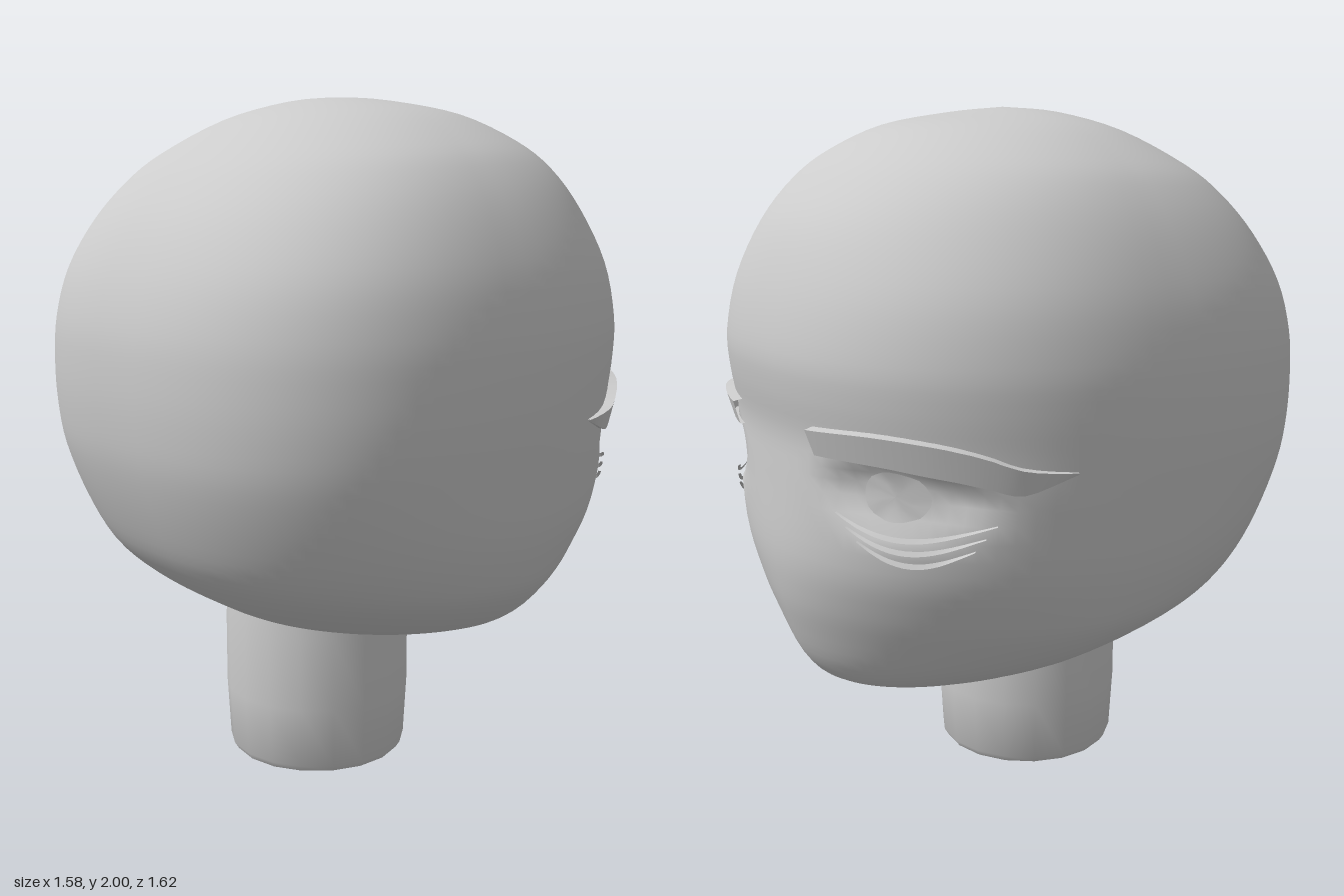
import * as THREE from 'three';
import { toCreasedNormals } from 'three/addons/utils/BufferGeometryUtils.js';

const skin = new THREE.MeshStandardMaterial({ color: 0xcccccc });
const thin = new THREE.MeshStandardMaterial({ color: 0xcccccc, side: THREE.DoubleSide });

// Surface through equal-length rows of points, optionally closed around.
function gridGeometry(rows, closed) {
  const n = rows[0].length, index = [];
  for (let i = 0; i < rows.length - 1; i++) {
    for (let j = 0; j < (closed ? n : n - 1); j++) {
      const k = (j + 1) % n;
      const a = i * n + j, b = (i + 1) * n + j, c = (i + 1) * n + k, d = i * n + k;
      index.push(a, b, c, a, c, d);
    }
  }
  const geo = new THREE.BufferGeometry().setFromPoints(rows.flat());
  geo.setIndex(index);
  geo.computeVertexNormals();
  return geo;
}

// Head rings: face z, y; back z, y; half width; roundness of face and back
const rings = [
  [0, 2, 0, 2, 0, 2, 2],
  [-0.15, 1.985, 0.15, 1.985, 0.18, 2, 2],
  [-0.35, 1.95, 0.33, 1.93, 0.37, 2, 2.1],
  [-0.5, 1.88, 0.5, 1.83, 0.53, 2.1, 2.3],
  [-0.6, 1.8, 0.6, 1.745, 0.62, 2.2, 2.4],
  [-0.7, 1.68, 0.69, 1.635, 0.695, 2.2, 2.5],
  [-0.77, 1.52, 0.76, 1.5, 0.755, 2.3, 2.6],
  [-0.805, 1.36, 0.8, 1.36, 0.785, 2.3, 2.6],
  [-0.8, 1.25, 0.81, 1.23, 0.79, 2.3, 2.6],
  [-0.78, 1.13, 0.805, 1.1, 0.785, 2.3, 2.6],
  [-0.783, 1, 0.785, 0.97, 0.77, 2.3, 2.6],
  [-0.79, 0.8, 0.735, 0.82, 0.745, 2.1, 2.5],
  [-0.775, 0.67, 0.67, 0.69, 0.705, 1.9, 2.4],
  [-0.745, 0.56, 0.58, 0.6, 0.65, 1.75, 2.3],
  [-0.69, 0.43, 0.46, 0.52, 0.53, 1.7, 2.2],
  [-0.61, 0.355, 0.33, 0.455, 0.38, 1.8, 2.1],
  [-0.48, 0.335, 0.15, 0.42, 0.21, 2, 2],
  [-0.15, 0.37, -0.15, 0.37, 0, 2, 2],
];

function headGeometry() {
  const curve = f => new THREE.CatmullRomCurve3(rings.map(f), false, 'catmullrom', 0.5);
  const face = curve(r => new THREE.Vector3(0, r[1], r[0]));
  const back = curve(r => new THREE.Vector3(0, r[3], r[2]));
  const form = curve(r => new THREE.Vector3(r[4], r[5], r[6]));
  const steps = (rings.length - 1) * 4, around = 96, rows = [];
  for (let i = 0; i <= steps; i++) {
    const t = i / steps, f = face.getPoint(t), b = back.getPoint(t), s = form.getPoint(t);
    const row = [];
    for (let j = 0; j < around; j++) {
      const a = (j / around) * Math.PI * 2, c = Math.cos(a), sn = Math.sin(a);
      const e = 2 / (c < 0 ? s.y : s.z);
      const u = Math.sign(c) * Math.abs(c) ** e;
      const p = f.clone().lerp(b, (u + 1) / 2);
      p.x = s.x * Math.sign(sn) * Math.abs(sn) ** e;
      row.push(p);
    }
    rows.push(row);
  }
  return gridGeometry(rows, true);
}

// Shallow eye sockets pressed into the face
function pressSockets(geo) {
  const pos = geo.attributes.position;
  for (let i = 0; i < pos.count; i++) {
    if (pos.getZ(i) > 0) continue;
    const d = Math.hypot((Math.abs(pos.getX(i)) - 0.45) / 0.23, (pos.getY(i) - 1.01) / 0.1);
    if (d >= 1) continue;
    const k = 0.045 * Math.min(1, (1 - d) * 2.5);
    pos.setX(i, pos.getX(i) * (1 - k));
    pos.setZ(i, pos.getZ(i) + k * 0.8);
  }
  geo.computeVertexNormals();
}

// Point on the face at (x, y), lifted along the surface normal
function onFace(head, x, y, lift) {
  const ray = new THREE.Raycaster(new THREE.Vector3(x, y, -3), new THREE.Vector3(0, 0, 1));
  const hit = ray.intersectObject(head)[0];
  if (!hit) return new THREE.Vector3(x, y, -0.2);
  return hit.point.clone().addScaledVector(hit.face.normal, lift);
}

const sample = (pts, n) =>
  new THREE.SplineCurve(pts.map(p => new THREE.Vector2(...p))).getPoints(n);

export function createModel() {
  const model = new THREE.Group();
  const add = (name, geo, mat, parent = model) => {
    const mesh = new THREE.Mesh(geo, mat);
    mesh.name = name;
    parent.add(mesh);
    return mesh;
  };

  const head = add('head', headGeometry(), skin);

  // Neck stub
  const profile = [[0, 0], [0.262, 0], [0.275, 0.02], [0.285, 0.2], [0.285, 0.42], [0.27, 0.55]];
  const neck = new THREE.LatheGeometry(profile.map(p => new THREE.Vector2(...p)), 18);
  neck.translate(0, 0, 0.093);
  add('neck', toCreasedNormals(neck, 0.7), skin);

  const lashTop = sample([[0.745, 1.09], [0.69, 1.11], [0.64, 1.145], [0.56, 1.172], [0.42, 1.185], [0.22, 1.175]], 20);
  const lashLow = sample([[0.745, 1.085], [0.69, 1.04], [0.64, 1.06], [0.57, 1.08], [0.42, 1.1], [0.23, 1.1]], 20);
  const eyes = [];
  for (const side of [1, -1]) {
    const eye = new THREE.Group();
    eye.name = side > 0 ? 'leftEye' : 'rightEye';
    model.add(eye);
    eyes.push([side, eye]);

    // Upper lash: a thick winged band standing off the lid
    const row = (pts, lift) => pts.map((p, i) =>
      onFace(head, p.x * side, p.y, lift * Math.min(1, 0.3 + i / 5)));
    const band = gridGeometry([row(lashTop, -0.005), row(lashTop, 0.028), row(lashLow, 0.014), row(lashLow, -0.005)], false);
    add('upperLash', toCreasedNormals(band, 0.7), thin, eye);

    // Lower lashes: three fine tapering crescents
    for (let k = 0; k < 3; k++) {
      const mid = 0.912 - k * 0.035, outer = 0.65 - k * 0.02, inner = 0.3 + k * 0.03;
      const edges = [[], []];
      for (let i = 0; i <= 16; i++) {
        const t = i / 16, arc = Math.sin(Math.PI * t);
        const x = (outer + (inner - outer) * t) * side;
        const y = mid + 0.045 * (1 - arc);
        edges[0].push(onFace(head, x, y, 0.004));
        edges[1].push(onFace(head, x, y - 0.012 * arc, 0.012));
      }
      add('lowerLash', gridGeometry(edges, false), thin, eye);
    }
  }

  pressSockets(head.geometry);

  // Irises: curved discs lying in the sockets
  for (const [side, eye] of eyes) {
    const rows = [0.001, 0.5, 1].map(r => Array.from({ length: 24 }, (_, j) => {
      const a = (j / 24) * Math.PI * 2;
      return onFace(head, side * (0.43 + 0.08 * r * Math.cos(a)), 1.01 + 0.072 * r * Math.sin(a), 0.006);
    }));
    add('iris', gridGeometry(rows, true), thin, eye);
  }
  return model;
}
